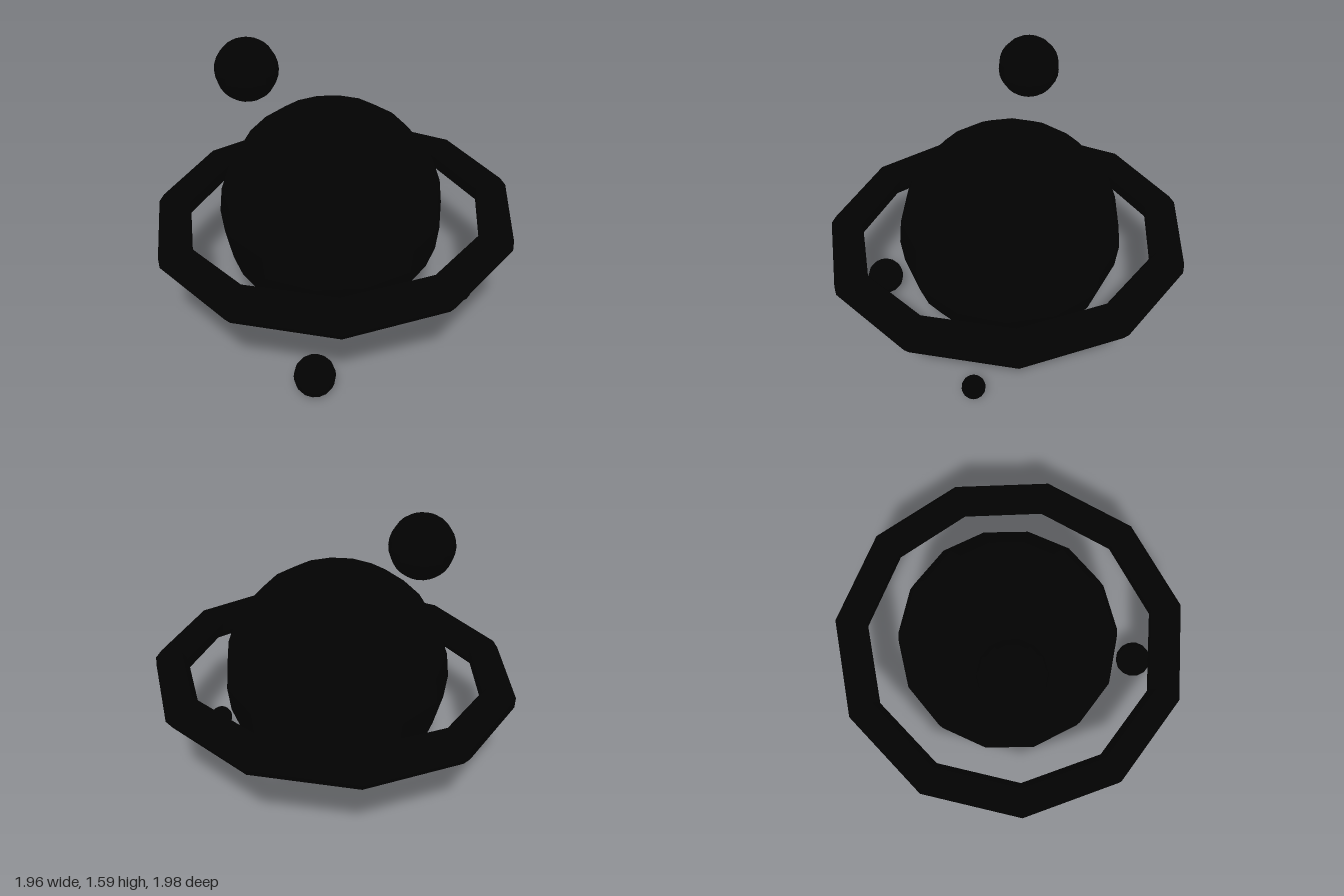
import * as THREE from 'three';

export function createModel() {
  const model = new THREE.Group();
  const material = new THREE.MeshStandardMaterial({ color: 0x020202, flatShading: true });

  // Low-poly globe with a corner of its 14 sides facing the front
  function addGlobe(name, radius, x, y, z) {
    const geometry = new THREE.SphereGeometry(radius, 14, 14).rotateY(Math.PI / 2);
    const mesh = new THREE.Mesh(geometry, material);
    mesh.name = name;
    mesh.position.set(x, y, z);
    model.add(mesh);
  }

  addGlobe('planet', 0.619, -0.015, 0.631, -0.025);
  addGlobe('largeMoon', 0.167, -0.3, 1.422, -0.362);
  addGlobe('mediumMoon', 0.107, -0.613, 0.107, 0.495);
  addGlobe('smallMoon', 0.064, 0.45, 0.132, 0.56);

  // Eleven-sided ring with a ten-sided section, flat on its outer and inner faces
  const ringRadius = 0.912, tubeRadius = 0.094;
  const section = [];
  for (let i = 0; i <= 10; i++) {
    const a = ((i - 0.5) / 10) * Math.PI * 2;
    section.push(new THREE.Vector2(ringRadius + tubeRadius * Math.cos(a), tubeRadius * Math.sin(a)));
  }
  const ring = new THREE.Mesh(new THREE.LatheGeometry(section, 11).rotateY(Math.PI / 2), material);
  ring.name = 'ring';
  ring.position.set(-0.021, 0.615, 0);
  ring.rotation.z = THREE.MathUtils.degToRad(2.6);
  model.add(ring);

  return model;
}
